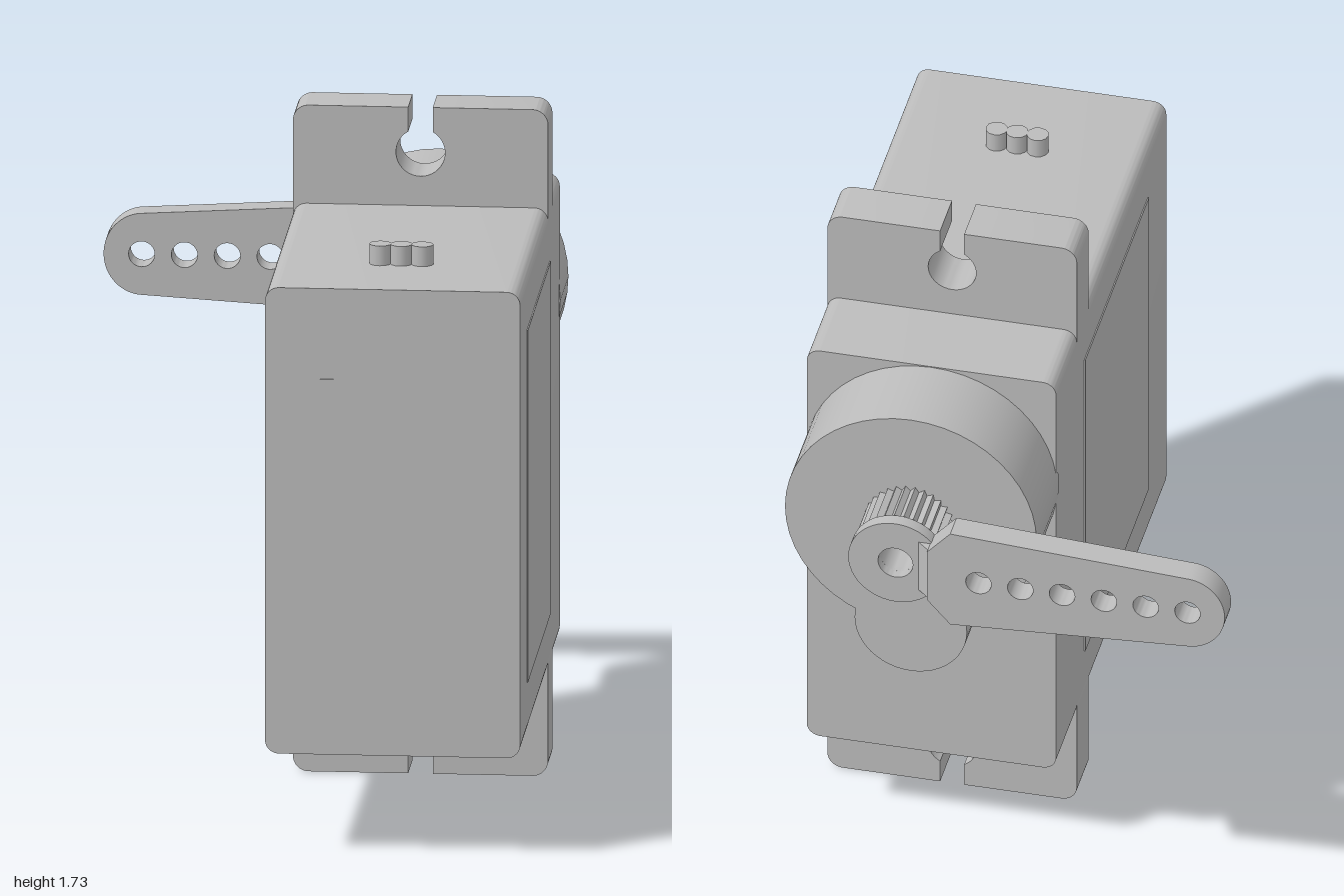
import * as THREE from 'three';
import { toCreasedNormals } from 'three/addons/utils/BufferGeometryUtils.js';

const grey = new THREE.MeshStandardMaterial({ color: 0xbcbcbc });
grey.name = 'grey plastic';

// All parts are laid out around the output shaft axis (z), then turned 45 degrees.
const CX = 0.187, CY = 0.87, SHAFT_Y = 1.148;
const HALF_W = 0.322, HALF_H = 0.605;
const TOP_Z = -0.31, END_Z = 0.902, GEAR_Z = -0.537;

function add(group, name, geometry, x = 0, y = 0, z = 0) {
  const mesh = new THREE.Mesh(geometry, grey);
  mesh.name = name;
  mesh.position.set(x, y, z);
  group.add(mesh);
  return mesh;
}

function extrude(shape, depth, curveSegments = 16) {
  const g = new THREE.ExtrudeGeometry(shape, { depth, bevelEnabled: false, curveSegments });
  return toCreasedNormals(g, 0.6);
}

function circleHole(x, y, r) {
  const p = new THREE.Path();
  p.absarc(x, y, r, 0, Math.PI * 2, true);
  return p;
}

function roundedRect(hw, hh, r) {
  const s = new THREE.Shape();
  s.absarc(hw - r, hh - r, r, 0, Math.PI / 2);
  s.absarc(-hw + r, hh - r, r, Math.PI / 2, Math.PI);
  s.absarc(-hw + r, -hh + r, r, Math.PI, Math.PI * 1.5);
  s.absarc(hw - r, -hh + r, r, Math.PI * 1.5, Math.PI * 2);
  s.closePath();
  return s;
}

// Mounting tab with a screw hole that opens outward through a slot
function tabShape() {
  const base = 0.56, top = 0.865, r = 0.04, holeY = 0.748, R = 0.062, slot = 0.031;
  const a = Math.acos(slot / R);
  const s = new THREE.Shape();
  s.moveTo(-HALF_W, base);
  s.lineTo(HALF_W, base);
  s.absarc(HALF_W - r, top - r, r, 0, Math.PI / 2);
  s.lineTo(slot, top);
  s.absarc(0, holeY, R, a, Math.PI - a, true);
  s.lineTo(-slot, top);
  s.absarc(-HALF_W + r, top - r, r, Math.PI / 2, Math.PI);
  s.closePath();
  return s;
}

// Toothed ring for the output shaft
function splineShape(teeth, inner, outer) {
  const s = new THREE.Shape();
  for (let i = 0; i < teeth * 2; i++) {
    const a = (i / teeth) * Math.PI, r = i % 2 ? inner : outer;
    if (i) s.lineTo(r * Math.cos(a), r * Math.sin(a));
    else s.moveTo(r, 0);
  }
  s.closePath();
  s.holes.push(circleHole(0, 0, 0.045));
  return s;
}

// Tapered arm with a rounded tip and a row of holes, drawn relative to the shaft
function armShape() {
  const s = new THREE.Shape();
  const tip = -0.859, r = 0.1;
  s.moveTo(-0.09, -0.075);
  s.lineTo(-0.09, 0.075);
  s.lineTo(-0.15, 0.142);
  s.lineTo(tip + r, 0.106);
  s.absellipse(tip + r, 0, r, 0.106, Math.PI / 2, Math.PI * 1.5, false, 0);
  s.lineTo(-0.15, -0.142);
  s.closePath();
  for (let i = 0; i < 6; i++) s.holes.push(circleHole(-0.763 + i * 0.108, 0, 0.033));
  return s;
}

export function createModel() {
  const model = new THREE.Group();
  model.name = 'servoMotor';
  const servo = new THREE.Group();
  servo.name = 'servo';
  servo.rotation.y = Math.PI / 4;
  model.add(servo);

  // Case
  add(servo, 'case', extrude(roundedRect(HALF_W, HALF_H, 0.035), END_Z - TOP_Z, 6), CX, CY, TOP_Z);

  // Label panels on both sides
  for (const side of [-1, 1]) {
    add(servo, 'sidePanel', new THREE.BoxGeometry(0.006, 0.915, 0.7), CX + side * HALF_W, 0.868, 0.35);
  }
  add(servo, 'endMark', new THREE.BoxGeometry(0.06, 0.16, 0.006), 0.008, 1.16, END_Z);

  // Mounting tabs, top and bottom
  for (const turn of [0, Math.PI]) {
    const tab = add(servo, 'mountingTab', extrude(tabShape(), 0.13), CX, 0.865, -0.082);
    tab.rotation.z = turn;
  }

  // Gear housing: large round boss with a smaller one below
  for (const [name, y, r] of [['gearHousing', SHAFT_Y, 0.325], ['smallGearHousing', 0.83, 0.145]]) {
    const depth = TOP_Z - GEAR_Z + 0.02;
    const g = new THREE.CylinderGeometry(r, r, depth, 48);
    g.rotateX(Math.PI / 2);
    add(servo, name, g, CX, y, GEAR_Z + depth / 2);
  }

  // Splined output shaft
  add(servo, 'outputShaft', extrude(splineShape(30, 0.105, 0.118), 0.14), CX, SHAFT_Y, -0.68);

  // Horn: hub cap, arm and the slanted neck joining them
  const hub = new THREE.Shape();
  hub.absarc(0, 0, 0.122, 0, Math.PI * 2);
  hub.holes.push(circleHole(0, 0, 0.045));
  add(servo, 'hornHub', extrude(hub, 0.035, 24), CX, SHAFT_Y, -0.706);
  add(servo, 'hornArm', extrude(armShape(), 0.07), CX, SHAFT_Y, -0.742);
  const neck = new THREE.Shape();
  neck.moveTo(-0.1, -0.742);
  neck.lineTo(-0.06, -0.706);
  neck.lineTo(-0.06, -0.66);
  neck.lineTo(-0.1, -0.672);
  neck.closePath();
  const neckGeometry = extrude(neck, 0.15);
  neckGeometry.translate(0, 0, -0.075);
  neckGeometry.rotateX(Math.PI / 2);
  // the turn maps the profile's second axis onto z
  add(servo, 'hornNeck', neckGeometry, CX, SHAFT_Y, 0);

  // Three cable stubs on the upper side
  for (let i = -1; i <= 1; i++) {
    add(servo, 'cableStub', new THREE.CylinderGeometry(0.028, 0.028, 0.08, 12), CX + i * 0.053, 1.486, 0.634);
  }

  return model;
}
